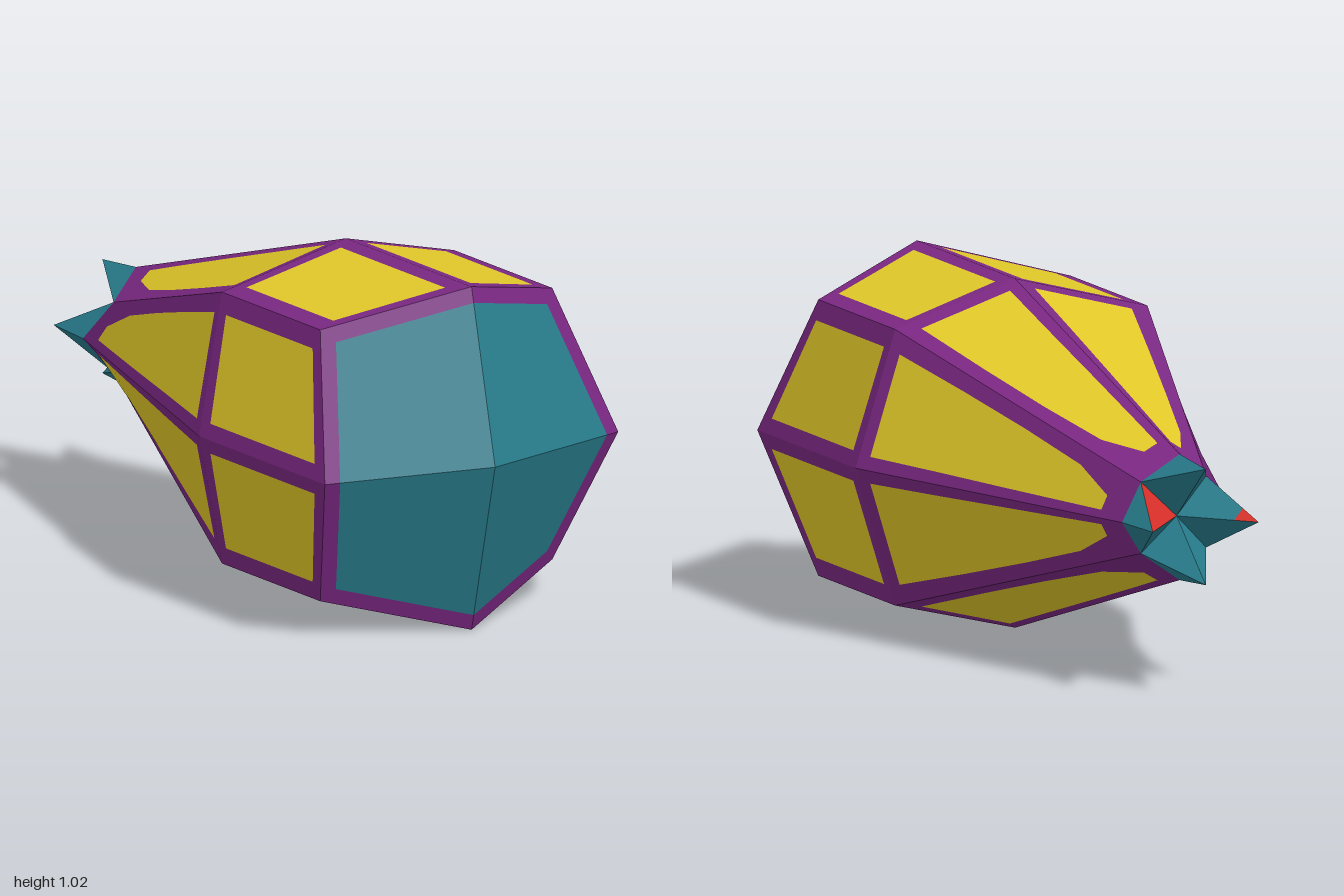
import * as THREE from 'three';

const mat = (name, color) => Object.assign(new THREE.MeshStandardMaterial({ color }), { name });
const CY = 0.513; // height of the long axis

const v3 = (x, y, z) => new THREE.Vector3(x, y, z);

// Eight points: even ones on the axes (radius rc), odd ones on the corners (x = y = rd)
function ring(rc, zc, rd, zd) {
  return Array.from({ length: 8 }, (_, k) => {
    const a = (k * Math.PI) / 4;
    const r = k % 2 ? rd * Math.SQRT2 : rc;
    return v3(Math.cos(a) * r, CY + Math.sin(a) * r, k % 2 ? zd : zc);
  });
}

// Collects triangles that share a given facet normal, turning each to face along it
class Facets {
  constructor() { this.pos = []; this.nor = []; }
  tri(a, b, c, n) {
    const g = v3().subVectors(b, a).cross(v3().subVectors(c, a));
    const pts = g.dot(n) < 0 ? [a, c, b] : [a, b, c];
    for (const p of pts) {
      this.pos.push(p.x, p.y, p.z);
      this.nor.push(n.x, n.y, n.z);
    }
  }
  quad(a, b, c, d, n) { this.tri(a, b, c, n); this.tri(a, c, d, n); }
  mesh(name, material) {
    const g = new THREE.BufferGeometry();
    g.setAttribute('position', new THREE.Float32BufferAttribute(this.pos, 3));
    g.setAttribute('normal', new THREE.Float32BufferAttribute(this.nor, 3));
    const m = new THREE.Mesh(g, material);
    m.name = name;
    return m;
  }
}

// Normal of a quad from its diagonals, pointing along the hint
function quadNormal(a, b, c, d, hint) {
  const n = v3().subVectors(c, a).cross(v3().subVectors(d, b)).normalize();
  return n.dot(hint) < 0 ? n.negate() : n;
}

// Framed panels between two rings; rows are [v, panel start u, panel end u],
// with u running from the axis point to the corner point
function framedBand(r0, r1, rows, frame, panel) {
  for (let k = 0; k < 8; k++) {
    const i = k % 2 ? (k + 1) % 8 : k;
    const j = k % 2 ? k : k + 1;
    const at = (u, v) => r0[i].clone().lerp(r0[j], u).lerp(r1[i].clone().lerp(r1[j], u), v);
    const mid = at(0.5, 0.5);
    const n = quadNormal(r0[i], r0[j], r1[j], r1[i], v3(mid.x, mid.y - CY, 0));
    for (let s = 0; s < rows.length - 1; s++) {
      const [va, ...ua] = rows[s], [vb, ...ub] = rows[s + 1];
      const A = [0, ...ua, 1], B = [0, ...ub, 1];
      const inPanel = s > 0 && s < rows.length - 2;
      for (let q = 0; q < 3; q++) {
        const target = inPanel && q === 1 ? panel : frame;
        target.quad(at(A[q], va), at(A[q + 1], va), at(B[q + 1], vb), at(B[q], vb), n);
      }
    }
  }
}

export function createModel() {
  const purple = mat('purple frame', 0x7a2882);
  const yellow = mat('yellow panel', 0xe0c828);
  const teal = mat('teal', 0x287c8c);
  const red = mat('red', 0xd83028);
  const group = new THREE.Group();
  group.name = 'facetedPod';

  const front = ring(0.512, 0.88, 0.405, 0.7);
  const waist = ring(0.512, 0.24, 0.405, 0.2);
  const neck = ring(0.185, -0.83, 0.105, -0.79);

  // Straight body with eight framed panels
  const bodyFrame = new Facets(), bodyPanels = new Facets();
  framedBand(front, waist, [
    [0, 0.11, 0.86], [0.08, 0.11, 0.86], [0.93, 0.11, 0.86], [1, 0.11, 0.86],
  ], bodyFrame, bodyPanels);
  group.add(bodyFrame.mesh('bodyFrame', purple), bodyPanels.mesh('bodyPanels', yellow));

  // Tapering rear with eight long panels
  const coneFrame = new Facets(), conePanels = new Facets();
  framedBand(waist, neck, [
    [0, 0.1, 0.86], [0.04, 0.1, 0.86], [0.3, 0.11, 0.85], [0.55, 0.12, 0.82],
    [0.78, 0.14, 0.74], [0.91, 0.16, 0.45], [1, 0.16, 0.45],
  ], coneFrame, conePanels);
  group.add(coneFrame.mesh('taperFrame', purple), conePanels.mesh('taperPanels', yellow));

  // Front cap: four facets meeting at a point, with a thin rim
  const apex = v3(0, CY, 1);
  const cap = new Facets(), rim = new Facets();
  const inner = front.map((p) => apex.clone().lerp(p, 0.91));
  for (let k = 0; k < 8; k += 2) {
    const e = (k + 2) % 8;
    const n = quadNormal(apex, front[k], front[k + 1], front[e], v3(0, 0, 1));
    for (const [a, b] of [[k, k + 1], [k + 1, e]]) {
      cap.tri(apex, inner[a], inner[b], n);
      rim.quad(inner[a], front[a], front[b], inner[b], n);
    }
  }
  group.add(cap.mesh('frontCap', teal), rim.mesh('frontRim', purple));

  // Four-pointed tail with a hollow centre
  const spikes = new Facets(), redFacets = new Facets();
  const hollow = v3(0, CY, -0.81);
  const tips = ring(0.17, -1, 0.1, -1);
  const faceNormal = (a, b, c, hint) => {
    const n = v3().subVectors(b, a).cross(v3().subVectors(c, a)).normalize();
    return n.dot(hint) < 0 ? n.negate() : n;
  };
  for (let k = 0; k < 8; k += 2) {
    const tip = tips[k];
    const out = v3(tip.x, tip.y - CY, 0);
    for (const d of [neck[k + 1], neck[(k + 7) % 8]]) {
      spikes.tri(tip, neck[k], d, faceNormal(tip, neck[k], d, out));
      const n = faceNormal(tip, hollow, d, v3(0, 0, -1));
      const upper = d.y > CY;
      if (k === 0 && upper) {
        redFacets.tri(tip, hollow, d, n);
      } else if (k === 4 && upper) {
        // only the point is red here
        const a = tip.clone().lerp(hollow, 0.3), b = tip.clone().lerp(d, 0.3);
        redFacets.tri(tip, a, b, n);
        spikes.quad(a, hollow, d, b, n);
      } else {
        spikes.tri(tip, hollow, d, n);
      }
    }
  }
  group.add(spikes.mesh('tailSpikes', teal), redFacets.mesh('tailRedFacets', red));

  return group;
}
